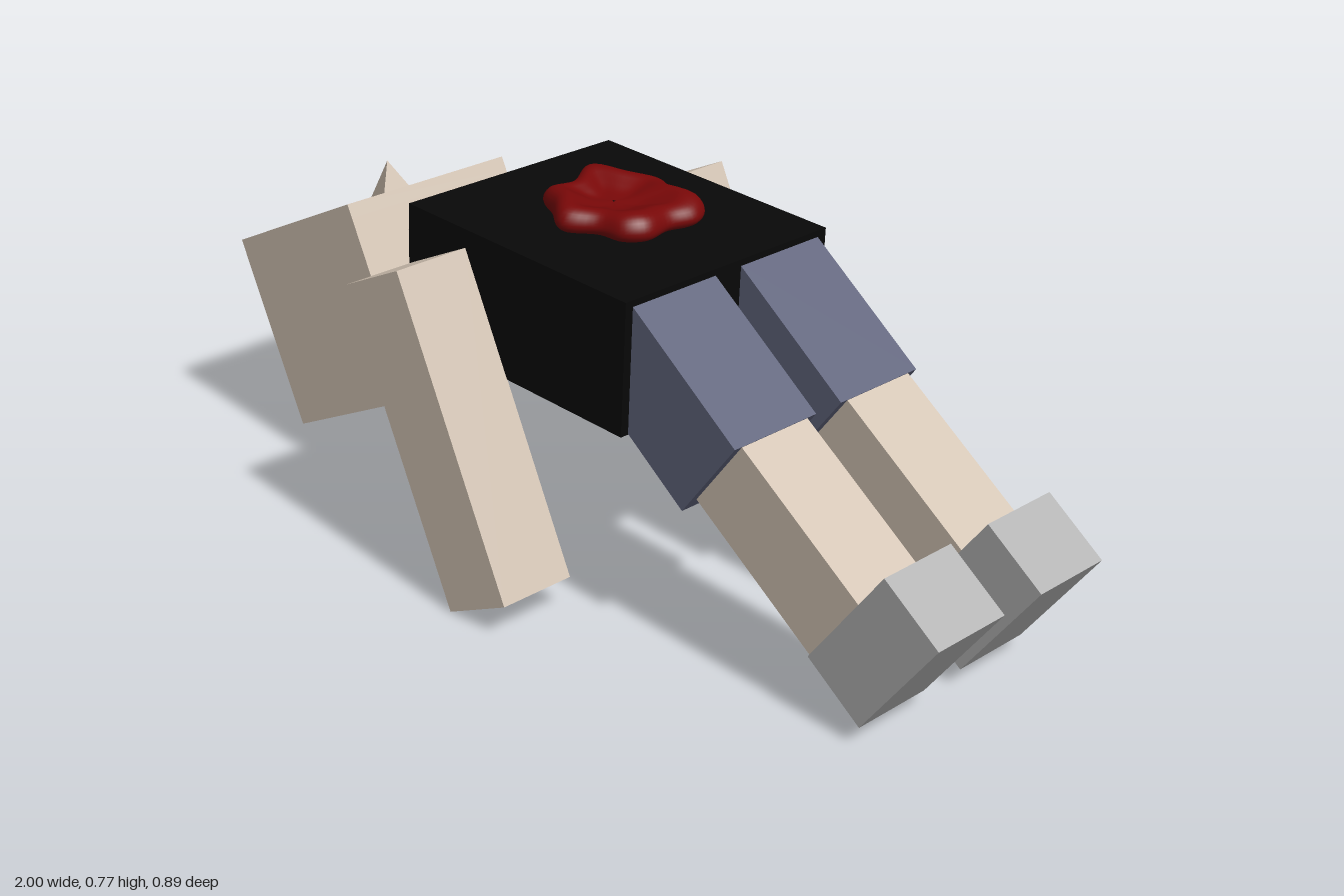
import * as THREE from 'three';
import { ConvexGeometry } from 'three/addons/geometries/ConvexGeometry.js';

const mat = (color) => new THREE.MeshStandardMaterial({ color });
const skin = mat(0xd3c4b4), shirt = mat(0x080808), denim = mat(0x60647c);
const shoe = mat(0xb2b2b2), black = mat(0x050505), red = mat(0x780808);

// Box tilted in the side plane by an angle in degrees
function block(name, material, [x, y, z], [w, h, d], degrees = 0) {
  const mesh = new THREE.Mesh(new THREE.BoxGeometry(w, h, d), material);
  mesh.name = name;
  mesh.position.set(x, y, z);
  mesh.rotation.z = THREE.MathUtils.degToRad(degrees);
  return mesh;
}

function createHead() {
  const head = new THREE.Group();
  head.name = 'head';
  const r = 0.2135, depth = 0.03;
  head.add(block('skull', skin, [0, -depth / 2, 0], [2 * r, 2 * r - depth, 2 * r]));

  // Face slab with rectangular eye sockets
  const rect = (Type, x0, x1, y0, y1) => new Type([[x0, y0], [x1, y0], [x1, y1], [x0, y1]]
    .map(([x, y]) => new THREE.Vector2(x, y)));
  const face = rect(THREE.Shape, -r, r, -r, r);
  for (const s of [-1, 1]) {
    face.holes.push(rect(THREE.Path, -0.1, 0, s * 0.081 - 0.027, s * 0.081 + 0.027));
    const name = s > 0 ? 'eyeFront' : 'eyeBack';
    head.add(block(name, black, [-0.05, r - depth, s * 0.081], [0.1, 0.008, 0.054]));
  }
  const slab = new THREE.ExtrudeGeometry(face, { depth, bevelEnabled: false });
  slab.rotateX(-Math.PI / 2).translate(0, r - depth, 0);
  const faceMesh = new THREE.Mesh(slab, skin);
  faceMesh.name = 'face';

  // Three-sided nose
  const nose = new THREE.Mesh(new ConvexGeometry([
    new THREE.Vector3(-0.002, r, 0), new THREE.Vector3(0.1, r, 0.035),
    new THREE.Vector3(0.1, r, -0.035), new THREE.Vector3(0.1, r + 0.066, 0),
  ]), skin);
  nose.name = 'nose';
  head.add(faceMesh, nose);
  head.position.set(-0.715, 0.354, -0.005);
  head.rotation.z = THREE.MathUtils.degToRad(25.7);
  return head;
}

// Lumpy puddle: a wavy outline scaled through a raised-rim profile
function createPuddle() {
  const outline = new THREE.CatmullRomCurve3([
    [-0.2, -0.08], [-0.13, -0.115], [-0.06, -0.152], [0, -0.13], [0.085, -0.125], [0.113, -0.08],
    [0.1, -0.02], [0.11, 0.05], [0.08, 0.09], [0.02, 0.1], [-0.04, 0.142], [-0.11, 0.1],
    [-0.17, 0.065], [-0.163, 0],
  ].map(([x, z]) => new THREE.Vector3(x + 0.045, 0, z + 0.005)), true);
  const profile = new THREE.SplineCurve([
    [0.02, 0.019], [0.3, 0.02], [0.55, 0.032], [0.75, 0.041], [0.92, 0.033], [1, 0.012],
    [0.95, -0.005], [0.75, -0.012], [0.02, -0.012],
  ].map(([x, y]) => new THREE.Vector2(x, y)));
  const around = 72, rings = 30, positions = [], index = [];
  for (let i = 0; i <= rings; i++) {
    const p = profile.getPoint(i / rings);
    for (let j = 0; j < around; j++) {
      const o = outline.getPoint(j / around), a = (j / around) * Math.PI * 2;
      const lump = p.y > 0 ? 1 + 0.14 * p.x * Math.sin(4 * a + 1) : 1;
      positions.push(o.x * p.x, p.y * lump, o.z * p.x);
      if (i === rings) continue;
      const k = (j + 1) % around, A = i * around + j, B = i * around + k;
      index.push(A, B + around, B, A, A + around, B + around);
    }
  }
  const geometry = new THREE.BufferGeometry();
  geometry.setAttribute('position', new THREE.Float32BufferAttribute(positions, 3));
  geometry.setIndex(index);
  geometry.computeVertexNormals();
  const mesh = new THREE.Mesh(geometry, red.clone());
  mesh.material.side = THREE.DoubleSide;
  mesh.name = 'puddle';
  mesh.position.set(-0.045, 0.724, -0.005);
  mesh.rotation.z = -0.03;
  return mesh;
}

export function createModel() {
  const model = new THREE.Group();
  model.name = 'figure';
  model.add(
    createHead(),
    block('neck', skin, [-0.42, 0.548, -0.005], [0.32, 0.168, 0.17], 27.5),
    block('torso', shirt, [-0.04, 0.579, -0.002], [0.61, 0.275, 0.544], -2.8),
    createPuddle(),
  );

  // Limbs on both sides
  for (const s of [-1, 1]) {
    const side = s > 0 ? 'Front' : 'Back', z = s * 0.143;
    model.add(
      block('arm' + side, skin, [-0.109, 0.342, s * 0.357 - 0.002], [0.177, 0.673, 0.172], 25.1),
      block('thigh' + side, denim, [0.334, 0.505, z], [0.33, 0.214, 0.217], -37.4),
      block('shin' + side, skin, [0.62, 0.31, z + 0.002], [0.4, 0.182, 0.175], -36),
      block('foot' + side, shoe, [0.85, 0.199, z + 0.002], [0.157, 0.281, 0.181], -36.5),
    );
  }
  return model;
}
